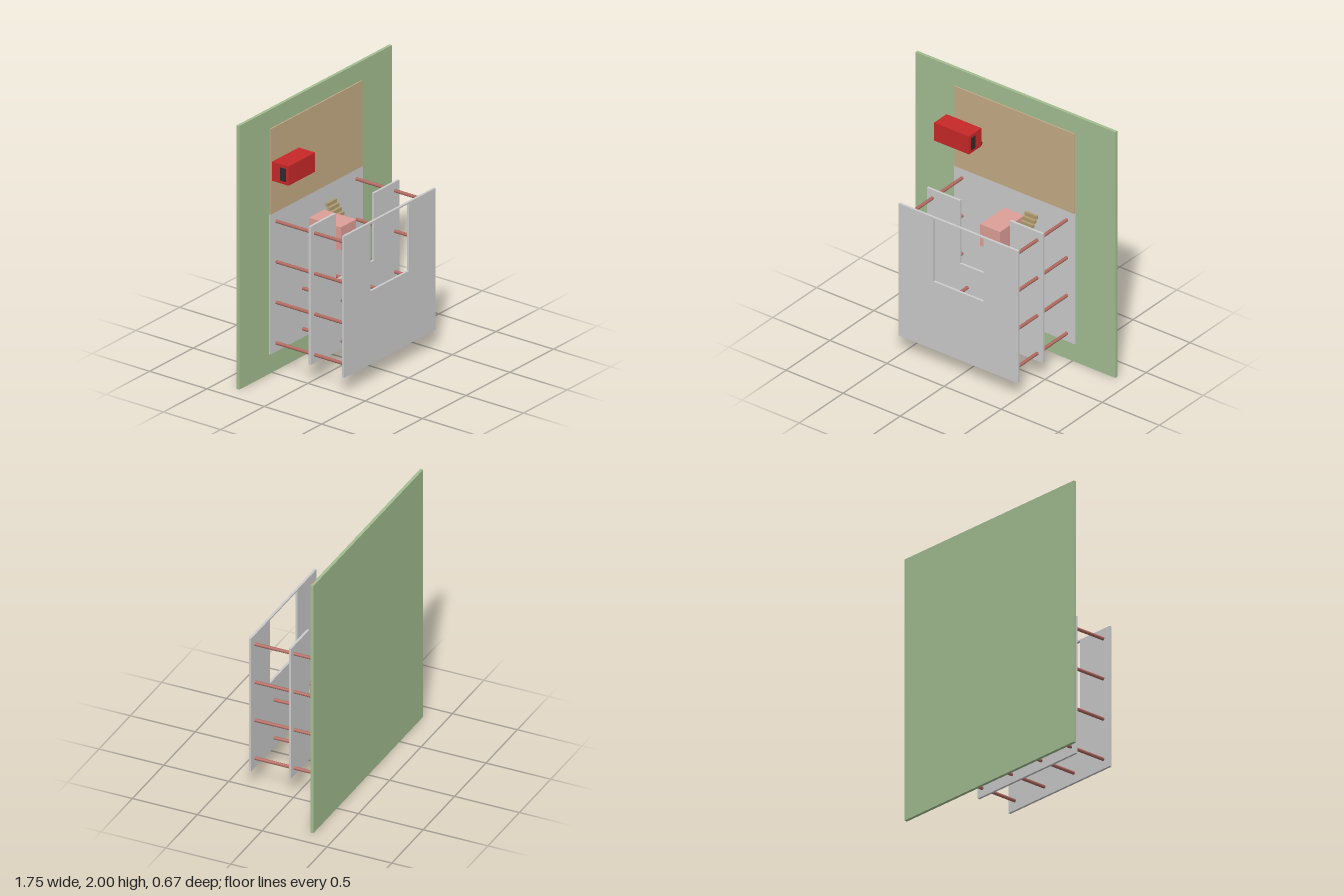
import * as THREE from 'three';

const mat = (color, extra = {}) => new THREE.MeshStandardMaterial({ color, ...extra });

export function createModel() {
  const model = new THREE.Group();
  const grey = mat(0xcccccc), grass = mat(0xa3bd90), wood = mat(0xc4ab84), stairWood = mat(0xb09c70);
  const pink = mat(0xdc9e97), rust = mat(0xb06a60), red = mat(0xc62828), dark = mat(0x2c2c2c);

  const add = (parent, name, geometry, material) => {
    const mesh = new THREE.Mesh(geometry, material);
    mesh.name = name;
    parent.add(mesh);
    return mesh;
  };
  // box given by its lower and upper limits
  const box = (parent, name, x0, x1, y0, y1, z0, z1, material) =>
    add(parent, name, new THREE.BoxGeometry(x1 - x0, y1 - y0, z1 - z0), material)
      .position.set((x0 + x1) / 2, (y0 + y1) / 2, (z0 + z1) / 2);
  const outline = (points) => points.map(([x, y]) => new THREE.Vector2(x, y));
  const slab = (name, shape, z0, z1) => {
    const geometry = new THREE.ExtrudeGeometry(shape, { depth: z1 - z0, bevelEnabled: false });
    add(model, name, geometry, grey).position.z = z0;
  };

  // upright base plate with the terrace and floor panel
  box(model, 'ground', -0.875, 0.875, 0, 2, -0.335, -0.312, grass);
  box(model, 'floor', -0.533, 0.53, 0.147, 1.207, -0.32, -0.304, grey);
  box(model, 'terrace', -0.528, 0.523, 1.207, 1.857, -0.313, -0.303, wood);

  // middle slab, notched from its top edge
  slab('middleSlab', new THREE.Shape(outline([
    [-0.51, 0.15], [0.505, 0.15], [0.505, 1.2], [0.217, 1.2],
    [0.217, 0.69], [-0.222, 0.69], [-0.222, 1.2], [-0.51, 1.2],
  ])), 0.015, 0.033);

  // front slab with a framed opening
  const front = new THREE.Shape(outline([[-0.525, 0.138], [0.52, 0.138], [0.52, 1.212], [-0.525, 1.212]]));
  front.holes.push(new THREE.Path(outline([[-0.222, 0.69], [-0.222, 1.2], [0.217, 1.2], [0.217, 0.69]])));
  slab('frontSlab', front, 0.317, 0.335);

  // columns between the slabs, none inside the opening
  const columns = new THREE.Group();
  columns.name = 'columns';
  model.add(columns);
  const columnGeometry = new THREE.CylinderGeometry(0.0125, 0.0125, 0.622, 16).rotateX(Math.PI / 2);
  [-0.46, -0.155, 0.15, 0.456].forEach((x, i) => {
    [0.212, 0.52, 0.828, 1.135].forEach((y, j) => {
      if ((i === 1 || i === 2) && j > 1) return;
      add(columns, 'column', columnGeometry, rust).position.set(x, y, 0.007);
    });
  });

  // block inside the opening
  box(model, 'core', -0.09, 0.085, 0.858, 1.032, -0.305, -0.025, pink);

  // staircase
  const stairs = new THREE.Group();
  stairs.name = 'stairs';
  model.add(stairs);
  const steps = 15, rise = 0.388 / steps, run = 0.322 / steps;
  for (let i = 0; i < steps; i++) {
    const y = 0.689 + i * rise, z = 0.017 - i * run;
    box(stairs, 'step', 0.1, 0.205, y, y + rise, z - run, z, stairWood);
  }

  // vehicle
  const van = new THREE.Group();
  van.name = 'van';
  model.add(van);
  box(van, 'vanBody', -0.564, -0.259, 1.489, 1.635, -0.262, -0.12, red);
  box(van, 'frontWindow', -0.262, -0.256, 1.512, 1.61, -0.192, -0.143, dark);
  box(van, 'rearWindow', -0.568, -0.561, 1.512, 1.61, -0.192, -0.143, dark);
  const wheelGeometry = new THREE.CylinderGeometry(0.0235, 0.0235, 0.026, 20).rotateZ(Math.PI / 2);
  for (const x of [-0.5, -0.296]) add(van, 'wheel', wheelGeometry, dark).position.set(x, 1.486, -0.28);

  return model;
}
